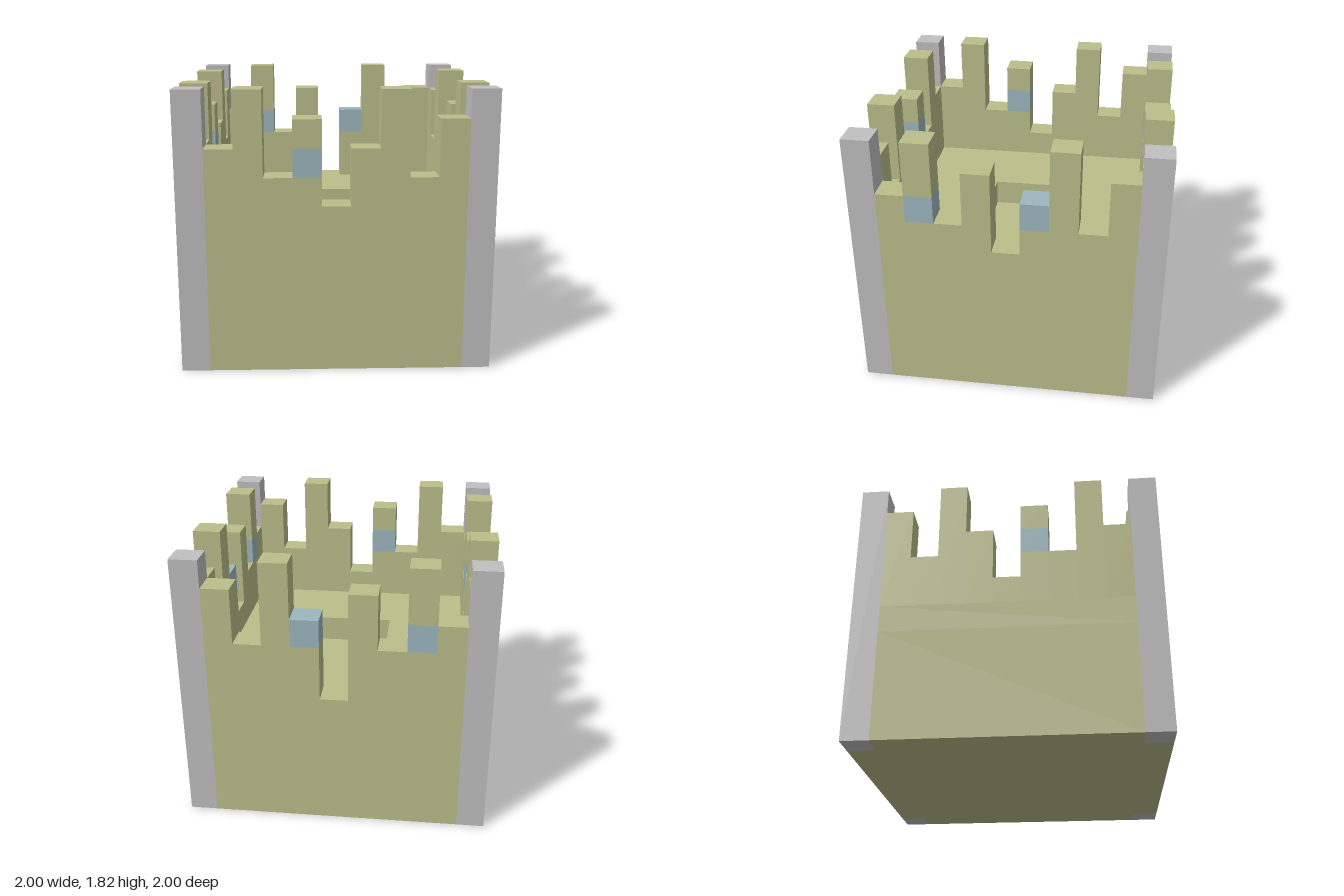
import * as THREE from 'three';

const U = 2 / 11;      // one block
const FLOOR = 5;       // courtyard level, in blocks
const BAND = 7;        // level of the blue blocks

export function createModel() {
  const model = new THREE.Group();
  model.name = 'blockFort';

  const stone = new THREE.MeshStandardMaterial({ color: 0xbcbe8b });
  stone.name = 'olive stone';
  const pillarGrey = new THREE.MeshStandardMaterial({ color: 0xc0c0c0 });
  pillarGrey.name = 'pillar grey';
  const blue = new THREE.MeshStandardMaterial({ color: 0x9db8c0 });
  blue.name = 'pale blue';

  // Block column centred on grid cell (cx, cz), from level y0 to y1
  function column(name, parent, material, cx, cz, y0, y1) {
    if (y1 <= y0) return;
    const mesh = new THREE.Mesh(new THREE.BoxGeometry(U, (y1 - y0) * U, U), material);
    mesh.position.set(cx * U, (y0 + y1) / 2 * U, cz * U);
    mesh.name = name;
    parent.add(mesh);
  }

  // Base layer: square plan with the four corners notched out for the pillars
  function baseLayer(name, y0, y1, hasPit) {
    const a = 5.5 * U, b = 4.5 * U, p = 1.5 * U;
    const plan = new THREE.Shape([
      [-b, -a], [b, -a], [b, -b], [a, -b], [a, b], [b, b],
      [b, a], [-b, a], [-b, b], [-a, b], [-a, -b], [-b, -b],
    ].map(([x, y]) => new THREE.Vector2(x, y)));
    if (hasPit) {
      plan.holes.push(new THREE.Path(
        [[-p, -p], [-p, p], [p, p], [p, -p]].map(([x, y]) => new THREE.Vector2(x, y))));
    }
    const geometry = new THREE.ExtrudeGeometry(plan, { depth: (y1 - y0) * U, bevelEnabled: false });
    geometry.rotateX(-Math.PI / 2);
    const mesh = new THREE.Mesh(geometry, stone);
    mesh.position.y = y0 * U;
    mesh.name = name;
    model.add(mesh);
  }
  baseLayer('base', 0, FLOOR - 1, false);
  baseLayer('courtyardFloor', FLOOR - 1, FLOOR, true);

  // Corner pillars
  for (const sx of [-1, 1]) {
    for (const sz of [-1, 1]) column('cornerPillar', model, pillarGrey, sx * 5, sz * 5, 0, 10);
  }

  // Walls share one battlement rhythm; blue lists the columns with a blue block
  const rhythm = [8, 10, 7, 9, 6, 8, 10, 7, 9];
  const walls = [
    { name: 'frontWall', blue: [3], gap: 6, cell: (t) => [t, 5] },
    { name: 'backWall', blue: [1, 5], gap: 5, cell: (t) => [t, -5] },
    { name: 'leftWall', blue: [1, 5], gap: 6, cell: (t) => [5, -t] },
    { name: 'rightWall', blue: [3], gap: 6, cell: (t) => [-5, -t] },
  ];
  for (const wall of walls) {
    const group = new THREE.Group();
    group.name = wall.name;
    rhythm.forEach((height, i) => {
      const top = i === 4 ? wall.gap : height;
      const [cx, cz] = wall.cell(i - 4);
      if (wall.blue.includes(i)) {
        column('merlonFoot', group, stone, cx, cz, FLOOR, BAND);
        column('blueBlock', group, blue, cx, cz, BAND, BAND + 1);
        column('merlonTop', group, stone, cx, cz, BAND + 1, top);
      } else {
        column('merlon', group, stone, cx, cz, FLOOR, top);
      }
    });
    model.add(group);
  }

  return model;
}
